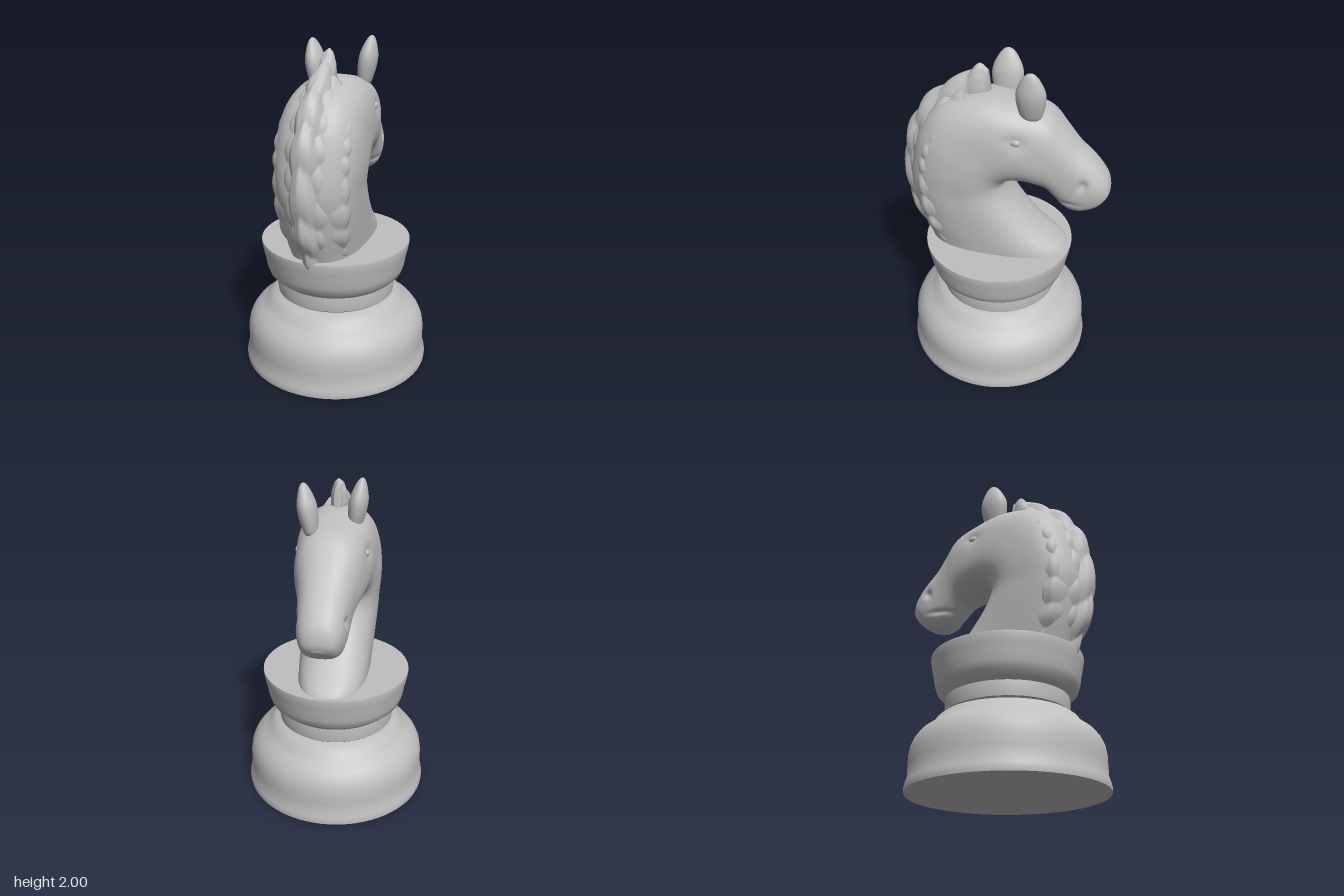
import * as THREE from 'three';
import { toCreasedNormals } from 'three/addons/utils/BufferGeometryUtils.js';

const V = (x, y, z) => new THREE.Vector3(x, y, z);
const spow = (v, e) => Math.sign(v) * Math.pow(Math.abs(v), e);

// Closed loft: each section is [back z, back y, front z, front y, half width].
function loft(sections, { steps, sides, power = 2, ripple, rule }) {
  const back = new THREE.CatmullRomCurve3(sections.map(s => V(s[4], s[1], s[0])));
  const front = new THREE.CatmullRomCurve3(sections.map(s => V(0, s[3], s[2])));
  const pos = [], index = [];
  for (let i = -1; i <= steps + 1; i++) {
    const t = THREE.MathUtils.clamp(i / steps, 0, 1);
    const size = i < 0 || i > steps ? 0 : 1; // collapsed rings close the ends
    const a = back.getPoint(t), b = front.getPoint(t);
    const w = a.x;
    a.x = 0;
    const mid = a.clone().add(b).multiplyScalar(0.5), half = a.clone().sub(b).multiplyScalar(0.5);
    for (let j = 0; j < sides; j++) {
      const th = j / sides * Math.PI * 2;
      const c = spow(Math.cos(th), 2 / power), s = spow(Math.sin(th), 2 / power);
      const k = size * (1 + (ripple ? ripple(t, th) : 0));
      const p = mid.clone().addScaledVector(half, c * k);
      p.x = s * w * k;
      if (rule) rule(p);
      pos.push(p.x, p.y, p.z);
    }
  }
  for (let i = 0; i < steps + 2; i++) for (let j = 0; j < sides; j++) {
    const n = (j + 1) % sides, a = i * sides + j, b = i * sides + n;
    index.push(a, b, b + sides, a, b + sides, a + sides);
  }
  const g = new THREE.BufferGeometry();
  g.setAttribute('position', new THREE.Float32BufferAttribute(pos, 3));
  g.setIndex(index);
  g.computeVertexNormals();
  return g;
}

export function createModel() {
  const group = new THREE.Group();
  const grey = new THREE.MeshStandardMaterial({ color: 0xbfbfbf });
  grey.name = 'stone grey';
  const add = (name, geometry, x = 0, y = 0, z = 0) => {
    const m = new THREE.Mesh(geometry, grey);
    m.name = name;
    m.position.set(x, y, z);
    group.add(m);
    return m;
  };

  // Turned pedestal with foot, waist and collar
  const profile = [
    [0, 0], [0.575, 0], [0.577, 0.02], [0.572, 0.045], [0.561, 0.08], [0.56, 0.14], [0.56, 0.2],
    [0.552, 0.25], [0.535, 0.29], [0.505, 0.33], [0.465, 0.36], [0.435, 0.385], [0.415, 0.415],
    [0.39, 0.435], [0.35, 0.448], [0.362, 0.458], [0.367, 0.5], [0.364, 0.548], [0.385, 0.565], [0.415, 0.595],
    [0.43, 0.64], [0.438, 0.69], [0.449, 0.74], [0.457, 0.785], [0.456, 0.8], [0, 0.8],
  ].map(p => new THREE.Vector2(...p));
  add('pedestal', toCreasedNormals(new THREE.LatheGeometry(profile, 80), 0.75), 0, 0, 0.028);

  // Neck and head in one sweep from the collar to the muzzle
  const body = [
    [0.42, 0.70, -0.41, 0.74, 0.21], [0.45, 0.80, -0.40, 0.80, 0.215], [0.50, 0.95, -0.23, 0.95, 0.225],
    [0.53, 1.10, -0.10, 1.10, 0.235], [0.55, 1.22, -0.045, 1.20, 0.24], [0.53, 1.38, -0.035, 1.26, 0.25],
    [0.47, 1.58, -0.06, 1.285, 0.25], [0.35, 1.73, -0.11, 1.29, 0.24], [0.12, 1.80, -0.17, 1.285, 0.228],
    [-0.10, 1.775, -0.22, 1.27, 0.212], [-0.27, 1.725, -0.27, 1.245, 0.187], [-0.36, 1.63, -0.30, 1.21, 0.166],
    [-0.44, 1.535, -0.33, 1.17, 0.152], [-0.53, 1.455, -0.365, 1.13, 0.143], [-0.59, 1.385, -0.42, 1.105, 0.135],
    [-0.622, 1.33, -0.49, 1.11, 0.118], [-0.636, 1.26, -0.56, 1.145, 0.085], [-0.625, 1.21, -0.605, 1.185, 0.03],
  ];
  // Pressed-in eye sockets, nostrils and mouth: [z, y, z radius, y radius, depth]
  const dents = [[-0.11, 1.6, 0.06, 0.035, 0.018], [-0.485, 1.33, 0.026, 0.026, 0.022], [-0.40, 1.19, 0.08, 0.013, 0.012]];
  const press = p => {
    for (const [z, y, rz, ry, d] of dents) {
      const q = ((p.z - z) / rz) ** 2 + ((p.y - y) / ry) ** 2;
      if (Math.abs(p.x) > 0.05) p.x -= Math.sign(p.x) * d * Math.exp(-q);
    }
  };
  add('neckAndHead', loft(body, { steps: 170, sides: 72, power: 2.5, rule: press }));

  // Eyes
  for (const side of [1, -1]) {
    const eye = add(side > 0 ? 'leftEye' : 'rightEye', new THREE.SphereGeometry(1, 20, 14), side * 0.198, 1.6, -0.112);
    eye.scale.set(0.014, 0.02, 0.028);
  }

  // Mane: three stacked layers of scalloped locks following the crest
  const crest = [
    [0.44, 0.70, 0.6], [0.50, 0.82, 0.8], [0.57, 0.97, 0.92], [0.605, 1.15, 1], [0.60, 1.36, 1],
    [0.56, 1.53, 1], [0.48, 1.68, 0.95], [0.36, 1.80, 0.85], [0.23, 1.88, 0.75], [0.14, 1.945, 0.5], [0.085, 1.935, 0.25],
  ];
  const layers = [
    ['maneRidge', 0, 0.078, 0.20, 0, 11, 0, 0.2],
    ['maneMiddleLocks', 0.045, 0.145, 0.22, 1, 9, 0.45, 0.12],
    ['maneOuterLocks', 0.085, 0.222, 0.22, 1, 8, 0.2, 0.06],
  ];
  for (const [name, inset, width, depth, first, last, phase, amount] of layers) {
    const sections = crest.slice(first, last).map(([z, y, s]) => {
      const inward = V(0, Math.min(y, 1.25) - y, 0.02 - z).normalize();
      const at = d => [z + inward.z * d, y + inward.y * d];
      return [...at(inset), ...at(inset + depth), width * s];
    });
    const ripple = (t, th) => {
      const lock = Math.abs(Math.sin(Math.PI * (t * 7 + phase + 0.35 * Math.abs(Math.sin(th)))));
      return amount * (lock - 0.6) + 0.02 * Math.cos(th * 10);
    };
    add(name, loft(sections, { steps: 110, sides: 48, ripple }));
  }

  // Ears: leaf-shaped, one set further forward than the other
  const leaf = new THREE.SplineCurve([
    [0.0, 0], [0.62, 0.01], [0.86, 0.18], [1, 0.42], [0.95, 0.62], [0.62, 0.84], [0.3, 0.96], [0, 1],
  ].map(p => new THREE.Vector2(...p))).getPoints(28);
  leaf.forEach(p => { p.x = Math.max(p.x, 0); });
  for (const [name, x, y, z, lean, rz] of [['leftEar', 0.105, 1.715, -0.178, -0.16, 0.082], ['rightEar', -0.11, 1.71, 0.005, 0.15, 0.09]]) {
    const ear = add(name, new THREE.LatheGeometry(leaf, 28), x, y, z);
    ear.scale.set(0.054, 0.287, rz);
    ear.rotation.z = lean;
  }
  return group;
}
